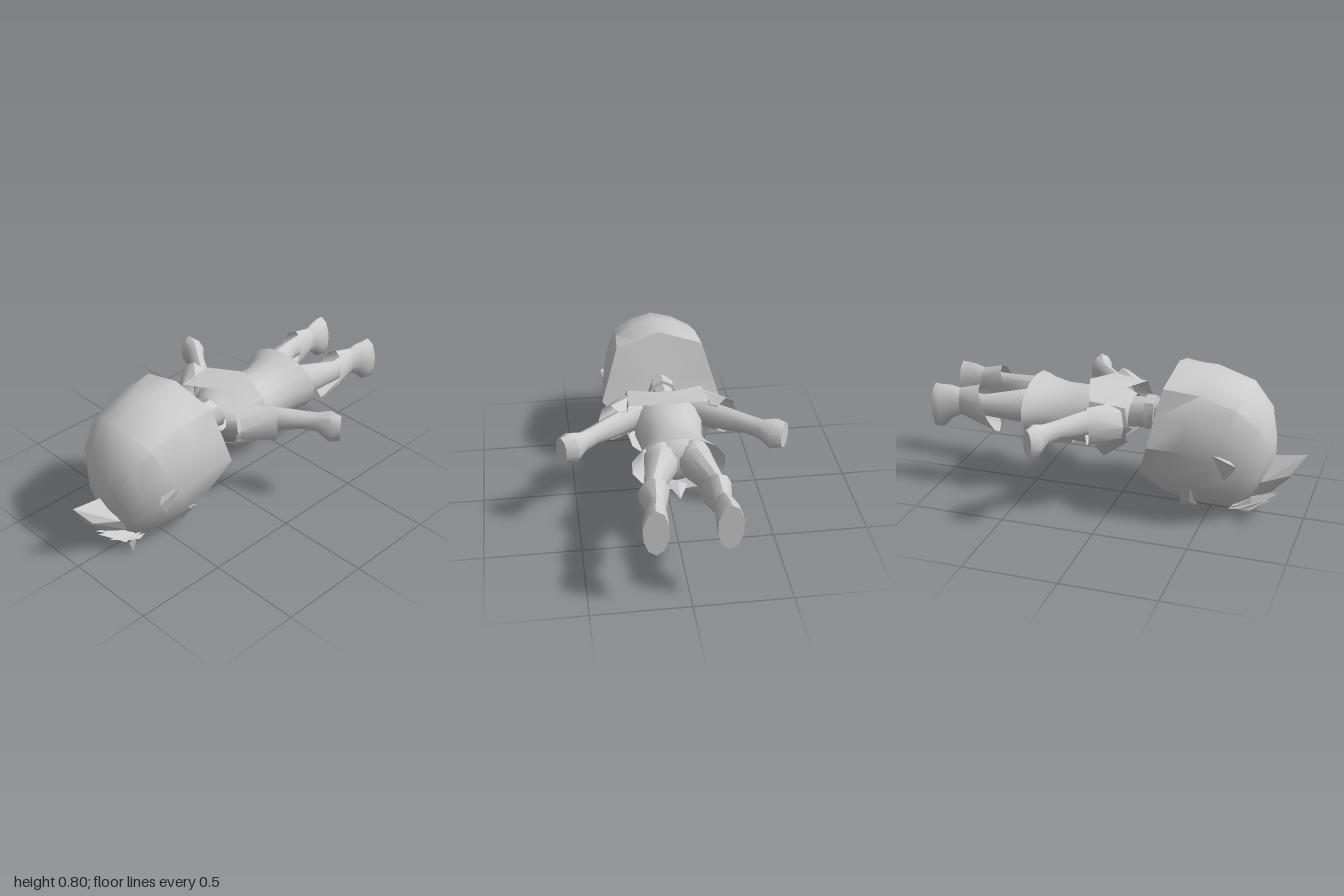
import * as THREE from 'three';
import { toCreasedNormals } from 'three/addons/utils/BufferGeometryUtils.js';
import { ConvexGeometry } from 'three/addons/geometries/ConvexGeometry.js';

const solid = new THREE.MeshStandardMaterial({ color: 0xcccccc });
const thin = new THREE.MeshStandardMaterial({ color: 0xcccccc, side: THREE.DoubleSide });

// Ellipse of n points; yaw turns its plane about the vertical axis
function ring(x, y, z, rx, ry, yaw = 0, n = 10) {
  return Array.from({ length: n }, (_, i) => {
    const a = (i / n) * Math.PI * 2 + Math.PI / 2;
    const u = Math.cos(a) * rx;
    return [x + u * Math.cos(yaw), y + Math.sin(a) * ry, z + u * Math.sin(yaw)];
  });
}

// Skin over rows of points; closed rows wrap round and may be capped
function loft(rows, { closed = true, caps = true, crease = 0.75 } = {}) {
  const n = rows[0].length;
  const pos = rows.flat();
  const tris = [];
  for (let r = 0; r < rows.length - 1; r++) {
    for (let i = 0; i < (closed ? n : n - 1); i++) {
      const j = (i + 1) % n;
      const a = r * n + i, b = r * n + j, c = a + n, d = b + n;
      tris.push([a, b, d], [a, d, c]);
    }
  }
  if (closed && caps) {
    for (const r of [0, rows.length - 1]) {
      const mid = pos.length;
      pos.push([0, 1, 2].map((k) => rows[r].reduce((s, p) => s + p[k], 0) / n));
      for (let i = 0; i < n; i++) {
        const a = r * n + i, b = r * n + (i + 1) % n;
        tris.push(r === 0 ? [mid, b, a] : [mid, a, b]);
      }
    }
  }
  // Turn every face outward
  const v = pos.map((p) => new THREE.Vector3(...p));
  const centre = v.reduce((s, p) => s.add(p), new THREE.Vector3()).divideScalar(v.length);
  let volume = 0;
  for (const t of tris) {
    const [a, b, c] = t.map((i) => v[i].clone().sub(centre));
    volume += a.dot(b.cross(c));
  }
  if (volume < 0) tris.forEach((t) => t.reverse());
  const g = new THREE.BufferGeometry();
  g.setAttribute('position', new THREE.Float32BufferAttribute(pos.flat(), 3));
  g.setIndex(tris.flat());
  return toCreasedNormals(g, crease);
}

const hull = (points) => new ConvexGeometry(points.map((p) => new THREE.Vector3(...p)));

export function createModel() {
  const model = new THREE.Group();
  const add = (name, geometry, material = solid) => {
    const mesh = new THREE.Mesh(geometry, material);
    mesh.name = name;
    model.add(mesh);
  };

  // Head of hair: tilted sections from the angular nape rim to the crown.
  // Outline points are [share of half width, share of the way from top to bottom, z shift]
  const bothSides = (h) => [...h, ...h.slice(1, -1).reverse().map(([x, ...rest]) => [-x, ...rest])];
  const rim = bothSides([[0, 0, 0], [0.36, 0.053, 0], [0.72, 0.105, 0], [0.86, 0.33, 0.015],
    [1, 0.55, 0.035], [0.74, 0.7, 0.025], [0.42, 0.9, 0.01], [0, 1, 0]]);
  const egg = bothSides([[0, 0, 0], [0.38, 0.035, 0], [0.72, 0.105, 0], [0.9, 0.28, 0],
    [1, 0.5, 0], [0.82, 0.73, 0], [0.42, 0.93, 0], [0, 1, 0]]);
  const headSections = [ // outline, top z, top y, bottom z, bottom y, half width
    [rim, 0.31, 0.805, 0.1, 0.14, 0.322],
    [egg, 0.5, 0.79, 0.25, 0.07, 0.306],
    [egg, 0.7, 0.725, 0.4, 0.03, 0.295],
    [egg, 0.8, 0.6, 0.6, 0.02, 0.235],
    [egg, 0.83, 0.45, 0.71, 0.08, 0.14],
    [egg, 0.835, 0.36, 0.79, 0.2, 0.04],
  ];
  add('head', loft(headSections.map(([shape, tz, ty, bz, by, w]) =>
    shape.map(([x, f, dz]) => [x * w, ty + (by - ty) * f, tz + (bz - tz) * f + dz]))));

  // Pointed tuft over the forehead and the fringe point below it
  add('frontTuft', hull([[0, 0.37, 1], [0, 0.345, 0.82], [0, 0.24, 0.925], [0, 0.13, 0.82],
    ...[-1, 1].flatMap((s) => [[s * 0.045, 0.26, 0.92], [s * 0.088, 0.22, 0.78], [s * 0.07, 0.12, 0.72]])]));
  add('centreFringe', hull([[0, 0.13, 0.86], [0.05, 0.025, 0.72], [-0.05, 0.025, 0.72], [0, 0.003, 0.62], [0, 0.08, 0.72]]));

  // Neck and collar
  add('neck', loft([ring(0, 0.5, 0.24, 0.06, 0.085, 0, 8), ring(0, 0.49, 0.02, 0.065, 0.09, 0, 8)]));
  add('collar', loft([ring(0, 0.5, 0.19, 0.078, 0.1, 0, 8), ring(0, 0.5, 0.14, 0.078, 0.1, 0, 8)]));

  // Torso running smoothly into flared, open-ended shorts
  add('torsoAndShorts', loft([
    ring(0, 0.49, 0.07, 0.12, 0.09, 0, 14), ring(0, 0.47, 0.01, 0.18, 0.13, 0, 14),
    ring(0, 0.45, -0.1, 0.18, 0.165, 0, 14), ring(0, 0.445, -0.22, 0.16, 0.155, 0, 14),
    ring(0, 0.45, -0.32, 0.164, 0.15, 0, 14), ring(0, 0.465, -0.4, 0.19, 0.15, 0, 14),
    ring(0, 0.482, -0.485, 0.238, 0.153, 0, 14),
  ], { caps: false }), thin);
  add('hips', loft([ring(0, 0.46, -0.34, 0.155, 0.13), ring(0, 0.475, -0.45, 0.16, 0.11), ring(0, 0.48, -0.48, 0.1, 0.07)]));

  // Short open jacket: neck edge and hem, mirrored about the back seam
  const mirrored = (pts) => [...pts, ...pts.slice(0, -1).reverse().map(([x, y, z]) => [-x, y, z])];
  add('jacket', loft([
    mirrored([[0.09, 0.35, 0.06], [0.19, 0.41, 0.08], [0.235, 0.5, 0.1], [0.2, 0.59, 0.08], [0, 0.61, 0]]),
    mirrored([[0.09, 0.25, -0.075], [0.19, 0.34, -0.08], [0.235, 0.5, -0.12], [0.21, 0.61, -0.11], [0, 0.645, -0.18]]),
  ], { closed: false }), thin);

  // Belt buckle and front flap
  add('buckle', hull([-1, 1].flatMap((s) => [[s * 0.055, 0.28, -0.27], [s * 0.055, 0.28, -0.37],
    [s * 0.075, 0.32, -0.26], [s * 0.075, 0.32, -0.38]])));
  add('frontFlap', hull([[0, 0.325, -0.56], [0.05, 0.345, -0.46], [-0.05, 0.345, -0.46], [0, 0.36, -0.46]]));

  for (const s of [1, -1]) {
    const side = s > 0 ? 'left' : 'right';
    const mx = (pts) => pts.map(([x, y, z]) => [s * x, y, z]);
    const limb = (sections, options) => loft(sections.map((q) => mx(ring(...q))), options);

    // Hair details: side points, fringe and cheek locks
    add(side + 'SidePoint', hull(mx([[0.305, 0.44, 0.57], [0.29, 0.385, 0.69], [0.255, 0.28, 0.62], [0.235, 0.4, 0.63]])));
    add(side + 'LongFringe', hull(mx([[0.18, 0.08, 0.78], [0, 0.003, 0.6], [0.07, 0.03, 0.72], [0.06, 0.04, 0.66]])));
    add(side + 'Fringe', hull(mx([[0.1, 0.13, 0.82], [0.11, 0.06, 0.68], [0.04, 0.03, 0.7], [0.06, 0.025, 0.6]])));
    add(side + 'InnerFringe', hull(mx([[0.05, 0.11, 0.84], [0.07, 0.04, 0.7], [0.01, 0.02, 0.7], [0.03, 0.015, 0.6]])));
    add(side + 'CheekLock', hull(mx([[0.235, 0.2, 0.44], [0.235, 0.2, 0.39], [0.16, 0.09, 0.42],
      [0.08, 0.025, 0.35], [0.07, 0.025, 0.44], [0.12, 0.14, 0.42]])));

    // Sleeve over the upper arm
    add(side + 'Sleeve', limb([
      [0.165, 0.5, 0.02, 0.1, 0.1, 0.7, 8], [0.3, 0.505, -0.095, 0.072, 0.105, 0.5, 8],
    ], { caps: false }), thin);

    // Arm and fist, swept back and outward
    add(side + 'Arm', limb([
      [0.15, 0.51, -0.03, 0.055, 0.07, 0.95], [0.3, 0.51, -0.14, 0.046, 0.067, 0.95],
      [0.4, 0.515, -0.215, 0.04, 0.052, 0.95], [0.46, 0.51, -0.26, 0.042, 0.055, 0.95],
      [0.52, 0.497, -0.29, 0.065, 0.088, 0.9], [0.572, 0.497, -0.312, 0.042, 0.075, 0.9],
    ]));

    // Leg from hip to ankle
    add(side + 'Leg', limb([
      [0.085, 0.48, -0.42, 0.085, 0.105], [0.09, 0.485, -0.5, 0.085, 0.1],
      [0.162, 0.49, -0.72, 0.042, 0.062], [0.16, 0.495, -0.86, 0.036, 0.065],
    ]));

    // Boot cuff, its lower edge reaching further up the shin
    const cuff = ring(0.15, 0.47, -0.7, 0.078, 0.13).map(([x, y, z]) => [x, y, z - (y - 0.47) * 0.4]);
    add(side + 'BootCuff', loft([mx(cuff), mx(ring(0.158, 0.495, -0.87, 0.042, 0.075))], { caps: false }), thin);

    // Boot foot with a flat sole
    add(side + 'Foot', limb([
      [0.158, 0.495, -0.85, 0.042, 0.072], [0.165, 0.49, -0.91, 0.052, 0.095],
      [0.175, 0.465, -0.96, 0.065, 0.122], [0.175, 0.463, -1, 0.064, 0.127],
    ]));
  }
  return model;
}
